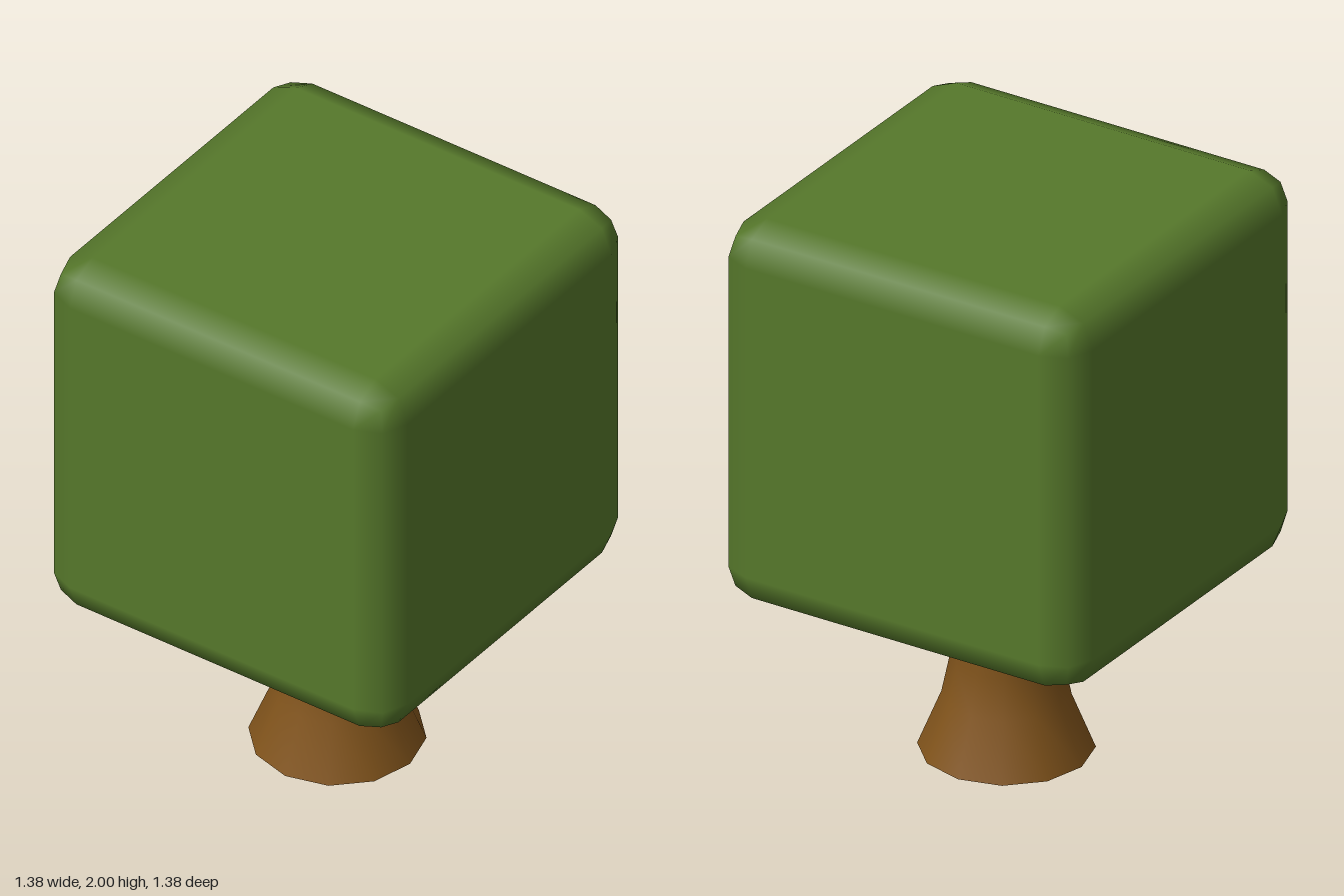
import * as THREE from 'three';
import { RoundedBoxGeometry } from 'three/addons/geometries/RoundedBoxGeometry.js';

export function createModel() {
  const tree = new THREE.Group();
  tree.name = 'tree';

  // Flared trunk, open at the foot, running a little way into the foliage
  const profile = [[0.288, 0], [0.21, 0.19], [0.181, 0.33], [0.181, 0.48], [0.181, 0.64]]
    .map(([r, y]) => new THREE.Vector2(r, y));
  const trunk = new THREE.Mesh(
    new THREE.LatheGeometry(profile, 12),
    new THREE.MeshStandardMaterial({ color: 0x80531b, side: THREE.DoubleSide })
  );
  trunk.name = 'trunk';
  trunk.position.set(0.007, 0, 0.002);

  // Cube of foliage with two-step rounded edges
  const size = 1.376;
  const foliage = new THREE.Mesh(
    new RoundedBoxGeometry(size, size, size, 1, 0.127),
    new THREE.MeshStandardMaterial({ color: 0x56782b })
  );
  foliage.name = 'foliage';
  foliage.position.y = 2 - size / 2;

  tree.add(trunk, foliage);
  return tree;
}
